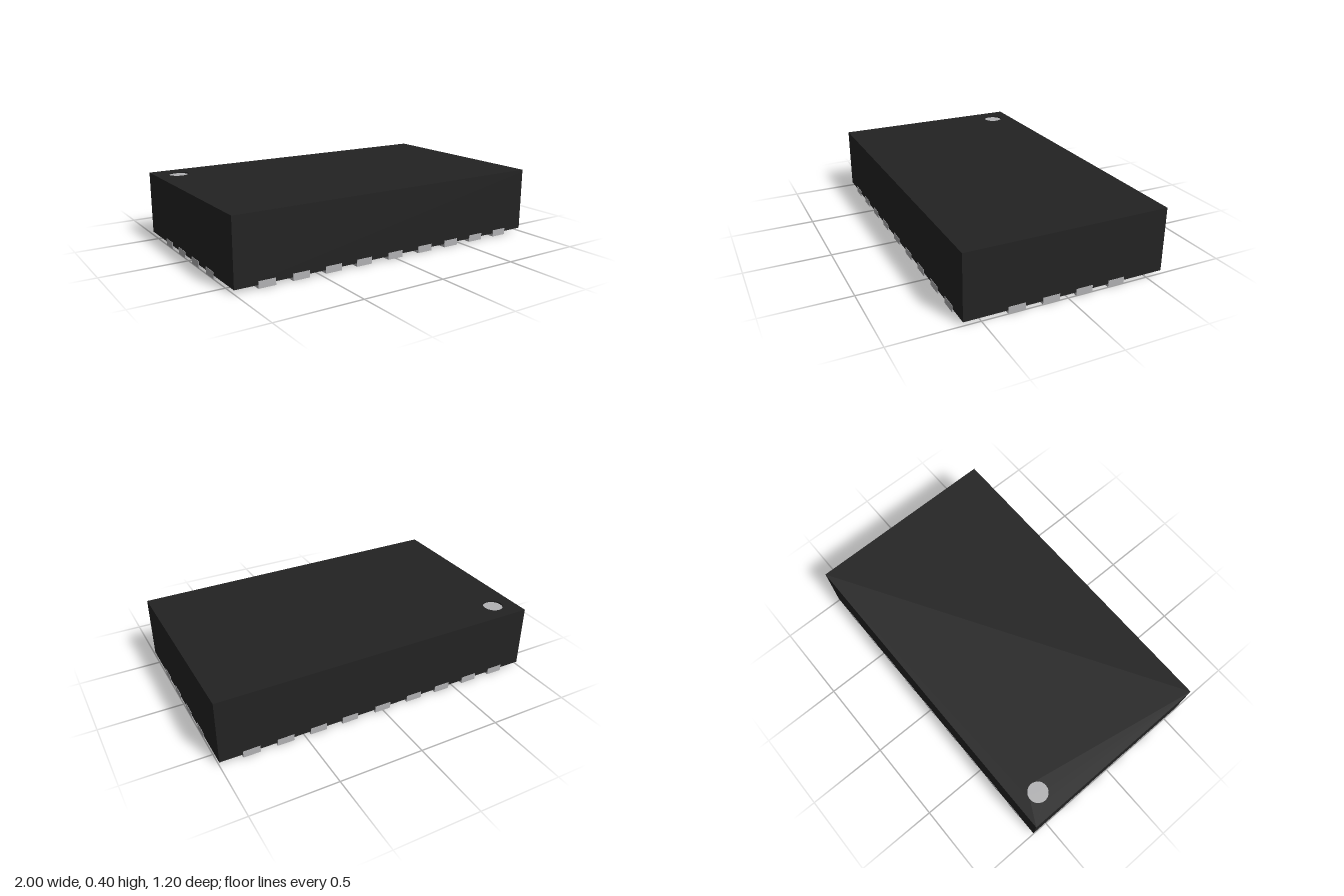
import * as THREE from 'three';

const HALF_X = 1, HALF_Z = 0.6;
const PAD_W = 0.1, PAD_H = 0.04, PAD_L = 0.18;
const PROUD = 0.002; // how far the pad ends stand out of the body

export function createModel() {
  const model = new THREE.Group();
  model.name = 'chipPackage';

  const plastic = new THREE.MeshStandardMaterial({ color: 0x232323 });
  plastic.name = 'black plastic';
  const metal = new THREE.MeshStandardMaterial({ color: 0xb2b2b4 });
  metal.name = 'tinned metal';

  const add = (name, geometry, material, x = 0, y = 0, z = 0, parent = model) => {
    const mesh = new THREE.Mesh(geometry, material);
    mesh.name = name;
    mesh.position.set(x, y, z);
    parent.add(mesh);
    return mesh;
  };

  // Body: a solid block with a thin top layer holding the round recess
  const bx = HALF_X - PROUD, bz = HALF_Z - PROUD;
  const floor = 0.39, top = 0.4, bottom = 0.02;
  add('body', new THREE.BoxGeometry(bx * 2, floor - bottom, bz * 2), plastic, 0, (floor + bottom) / 2);

  const markX = -0.86, markZ = -0.465, markR = 0.06;
  const cover = new THREE.Shape([
    new THREE.Vector2(-bx, -bz), new THREE.Vector2(bx, -bz),
    new THREE.Vector2(bx, bz), new THREE.Vector2(-bx, bz),
  ]);
  cover.holes.push(new THREE.Path().absarc(markX, -markZ, markR, 0, Math.PI * 2, true));
  const coverGeo = new THREE.ExtrudeGeometry(cover, { depth: top - floor, bevelEnabled: false, curveSegments: 24 });
  coverGeo.rotateX(-Math.PI / 2);
  add('bodyTop', coverGeo, plastic, 0, floor);

  // Pin one marker on the floor of the recess
  add('pinOneMarker', new THREE.CylinderGeometry(markR, markR, 0.002, 32), metal, markX, floor + 0.001, markZ);

  // Short pad: outer end square at z = 0, inner end rounded toward -z
  const r = PAD_W / 2;
  const outline = new THREE.Shape();
  outline.moveTo(-r, 0);
  outline.lineTo(r, 0);
  outline.lineTo(r, PAD_L - r);
  outline.absarc(0, PAD_L - r, r, 0, Math.PI, false);
  outline.lineTo(-r, 0);
  const padGeo = new THREE.ExtrudeGeometry(outline, { depth: PAD_H, bevelEnabled: false, curveSegments: 8 });
  padGeo.rotateX(-Math.PI / 2);

  const pads = new THREE.Group();
  pads.name = 'shortPads';
  model.add(pads);
  for (const side of [1, -1]) {
    for (const x of [-0.815, -0.615, 0.615, 0.815]) {
      const pad = add(side > 0 ? 'frontPad' : 'backPad', padGeo, metal, x, 0, side * HALF_Z, pads);
      pad.rotation.y = side > 0 ? 0 : Math.PI;
    }
    for (const z of [-0.3, -0.1, 0.1, 0.3]) {
      const pad = add(side > 0 ? 'leftPad' : 'rightPad', padGeo, metal, side * HALF_X, 0, z, pads);
      pad.rotation.y = side * Math.PI / 2;
    }
  }

  // Long bars running from front to back
  const barGeo = new THREE.BoxGeometry(PAD_W, PAD_H, HALF_Z * 2);
  for (const x of [-0.415, -0.215, 0.215, 0.415]) add('longBar', barGeo, metal, x, PAD_H / 2);

  // Centre bar, wider between its two ends
  const n = PAD_W / 2, w = 0.068, e = 0.46;
  const centre = new THREE.Shape([
    [-n, -HALF_Z], [n, -HALF_Z], [n, -e], [w, -e], [w, e], [n, e],
    [n, HALF_Z], [-n, HALF_Z], [-n, e], [-w, e], [-w, -e], [-n, -e],
  ].map(([x, z]) => new THREE.Vector2(x, z)));
  const centreGeo = new THREE.ExtrudeGeometry(centre, { depth: PAD_H, bevelEnabled: false });
  centreGeo.rotateX(-Math.PI / 2);
  add('centreBar', centreGeo, metal);

  return model;
}
